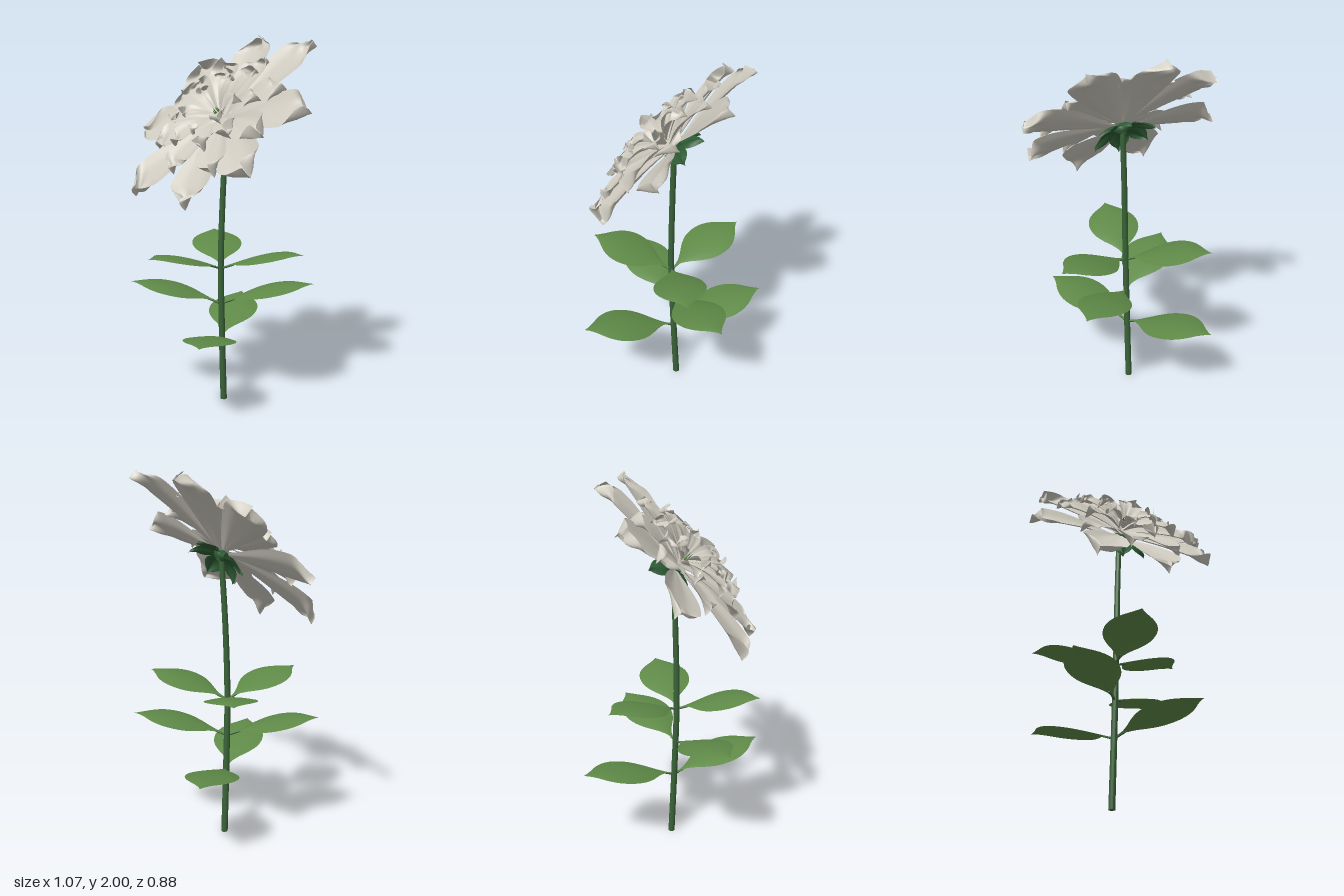
import * as THREE from 'three';

const mat = (name, color, side = THREE.DoubleSide) => {
  const m = new THREE.MeshStandardMaterial({ color, side });
  m.name = name;
  return m;
};

// Smooth 1D function through evenly spaced values
const profile = (values) => {
  const curve = new THREE.SplineCurve(values.map((v, i) => new THREE.Vector2(i, v)));
  return (t) => Math.max(0, curve.getPoint(t).y);
};

// Thin surface: x runs along the blade, z across it, y is up
function blade(rows, cols, point) {
  const pos = [], index = [];
  for (let i = 0; i <= rows; i++) {
    for (let j = 0; j <= cols; j++) pos.push(...point(i / rows, (2 * j) / cols - 1));
  }
  for (let i = 0; i < rows; i++) {
    for (let j = 0; j < cols; j++) {
      const a = i * (cols + 1) + j, b = a + cols + 1;
      index.push(a, a + 1, b, a + 1, b + 1, b);
    }
  }
  const g = new THREE.BufferGeometry();
  g.setAttribute('position', new THREE.Float32BufferAttribute(pos, 3));
  g.setIndex(index);
  g.computeVertexNormals();
  return g;
}

const petalWidth = profile([0.12, 0.22, 0.38, 0.55, 0.71, 0.85, 0.96, 1, 0.99, 0.84, 0]);
const leafWidth = profile([0.05, 0.08, 0.32, 0.64, 0.88, 0.99, 1, 0.9, 0.66, 0.28, 0]);
const sepalWidth = profile([0.5, 0.6, 0.8, 1, 0.92, 0.55, 0]);

// Petal: broad and gently cupped, the rim crumpled and folded in around a small point
function petalGeometry(length, halfWidth, base, rise, seed) {
  return blade(30, 16, (s, u) => {
    const t = 1 - Math.pow(1 - s, 1.4);
    const tip = THREE.MathUtils.smoothstep(t, 0.76, 1);
    const w = petalWidth(t) * halfWidth;
    const fold = tip * Math.pow(Math.abs(u), 3);
    const crumple = tip * 0.018 * Math.sin(u * 6 + seed * 2.3 + t * 11);
    const x = 0.015 + length * t - fold * 0.03 * (1 + 0.8 * Math.sin(seed + u * 2));
    const y = base + rise * Math.sin(t * 2) + 0.2 * w * u * u * (1 - tip)
      + fold * 0.035 + crumple - 0.015 * tip * (1 - Math.abs(u)) + 0.005 * Math.cos(u * 7) * t * (1 - t);
    const z = u * w * (1 - 0.4 * fold) + tip * 0.014 * Math.sin(seed * 1.7);
    return [x, y, z];
  });
}

export function createModel() {
  const model = new THREE.Group();
  model.name = 'flower';
  const petalMat = mat('petal cream', 0xcdc9be);
  const leafMat = mat('leaf green', 0x5f8a48);
  const stemMat = mat('stem green', 0x3a6238, THREE.FrontSide);
  const sepalMat = mat('sepal green', 0x2c5a33);

  const add = (parent, name, geometry, material) => {
    const mesh = new THREE.Mesh(geometry, material);
    mesh.name = name;
    parent.add(mesh);
    return mesh;
  };

  // Stem, slightly bowed and tapered
  const path = new THREE.CatmullRomCurve3([
    [-0.042, 0, -0.047], [-0.036, 0.4, -0.03], [-0.03, 0.8, -0.018],
    [-0.021, 1.2, -0.026], [-0.008, 1.53, -0.04],
  ].map((p) => new THREE.Vector3(...p)));
  const stemGeo = new THREE.CylinderGeometry(0.015, 0.018, 1, 12, 24);
  const sp = stemGeo.attributes.position;
  for (let i = 0; i < sp.count; i++) {
    const c = path.getPoint(sp.getY(i) + 0.5);
    sp.setXYZ(i, sp.getX(i) + c.x, c.y, sp.getZ(i) + c.z);
  }
  stemGeo.computeVertexNormals();
  add(model, 'stem', stemGeo, stemMat);

  // Leaves: [base height, tip x, tip z]
  [
    [0.37, -0.38, -0.44], [0.37, 0.3, 0.37],
    [0.57, -0.36, 0.35], [0.57, 0.29, -0.41],
    [0.77, -0.43, -0.27], [0.77, 0.375, -0.25], [0.77, -0.04, 0.44],
  ].forEach(([y, tx, tz]) => {
    const c = path.getPoint(y / 1.53);
    const dx = tx - c.x, dz = tz - c.z, length = Math.hypot(dx, dz);
    const geo = blade(24, 8, (t, u) => {
      const w = leafWidth(t) * 0.138;
      return [length * t, 0.113 * Math.sin(t * 1.75) - 0.12 * w * u * u, u * w];
    });
    const leaf = add(model, 'leaf', geo, leafMat);
    leaf.position.set(c.x, y - 0.004, c.z);
    leaf.rotation.y = Math.atan2(-dz, dx);

    // Leaf stalk
    const stalk = add(model, 'leafStalk', new THREE.CylinderGeometry(0.004, 0.006, 0.08, 8), stemMat);
    stalk.position.set(c.x + (dx / length) * 0.038, y + 0.004, c.z + (dz / length) * 0.038);
    stalk.quaternion.setFromUnitVectors(new THREE.Vector3(0, 1, 0),
      new THREE.Vector3(dx / length, 0.36, dz / length).normalize());
  });

  // Flower head, tilted up and forward and a little to its left
  const head = new THREE.Group();
  head.name = 'flowerHead';
  head.position.set(0, 1.582, 0.002);
  head.rotation.set(0.805, 0, -0.07);
  model.add(head);

  // Petal rings: [angle in degrees, length] pairs, half width, base height, rise
  const outer = [[196, 0.555], [145, 0.52], [104, 0.56], [64, 0.595],
    [16, 0.525], [-34, 0.515], [-74, 0.55], [-115, 0.595]];
  const middle = [[220, 0.38], [169, 0.37], [122, 0.38], [80, 0.37],
    [36, 0.37], [-10, 0.39], [-56, 0.41], [-95, 0.38]];
  const inner = outer.map(([a], i) => [a + 6, 0.265 + 0.012 * Math.sin(i * 2.7)]);
  const core = [20, 85, 150, 215, 270, 330].map((a, i) => [a, 0.165 + 0.01 * Math.sin(i * 2)]);
  [
    { name: 'outerPetal', petals: outer, width: 0.122, base: -0.05, rise: 0.035 },
    { name: 'middlePetal', petals: middle, width: 0.092, base: -0.03, rise: 0.058 },
    { name: 'innerPetal', petals: inner, width: 0.064, base: -0.005, rise: 0.08 },
    { name: 'corePetal', petals: core, width: 0.04, base: 0.015, rise: 0.085 },
  ].forEach((ring, r) => ring.petals.forEach(([angle, length], i) => {
    const base = ring.base + (i % 2) * 0.012;
    const petal = add(head, ring.name,
      petalGeometry(length, ring.width, base, ring.rise, i * 1.9 + r * 3.1), petalMat);
    petal.rotation.y = THREE.MathUtils.degToRad(angle);
  }));

  // Green heart of the flower
  for (let i = 0; i < 6; i++) {
    const a = (i / 6) * Math.PI * 2;
    const bud = add(head, 'stamen', new THREE.ConeGeometry(0.006, 0.05, 6), leafMat);
    bud.position.set(Math.cos(a) * 0.013, 0.045, Math.sin(a) * 0.013);
  }

  // Calyx cup and drooping sepals
  const cup = new THREE.LatheGeometry([[0.016, -0.085], [0.03, -0.075], [0.045, -0.056], [0.03, -0.036], [0, -0.034]]
    .map((p) => new THREE.Vector2(...p)), 16);
  add(head, 'calyx', cup, sepalMat);
  for (let i = 0; i < 6; i++) {
    const geo = blade(14, 8, (t, u) => {
      const w = sepalWidth(t) * 0.052;
      return [0.02 + 0.145 * t, -0.06 - 0.05 * t * t * t + 0.5 * w * u * u * (0.3 - t)
        + 0.01 * Math.sin(u * 4 + i * 2) * t, u * w];
    });
    add(head, 'sepal', geo, sepalMat).rotation.y = (i / 6) * Math.PI * 2 + Math.PI / 2;
  }
  return model;
}
